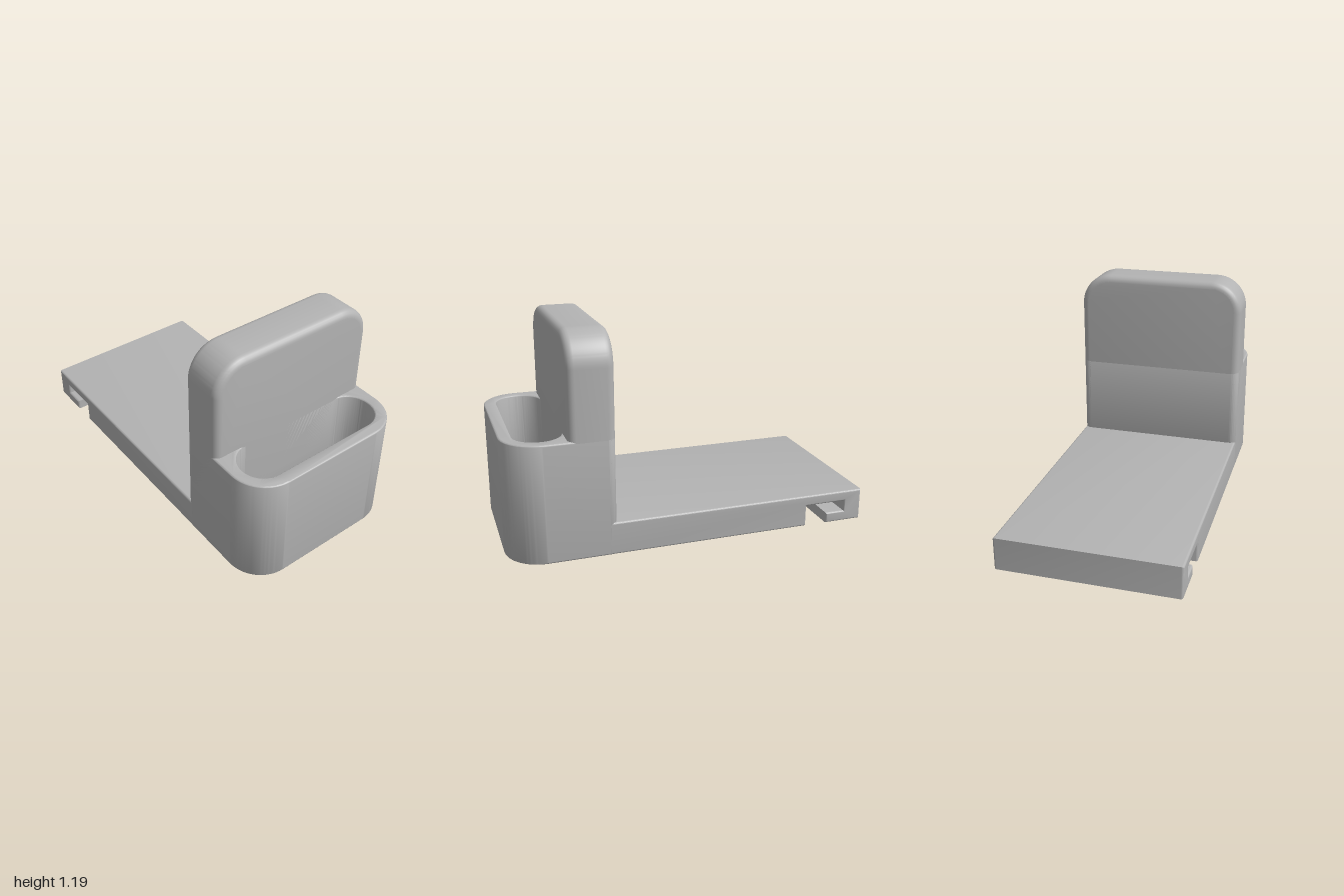
import * as THREE from 'three';
import { toCreasedNormals } from 'three/addons/utils/BufferGeometryUtils.js';

const HALF_W = 0.49;

// Extrude a shape to an exact total depth, starting at 0, with rounded rims.
function roundedExtrude(shape, depth, bevel) {
  const geo = new THREE.ExtrudeGeometry(shape, {
    depth: depth - 2 * bevel,
    bevelEnabled: true,
    bevelThickness: bevel,
    bevelSize: bevel,
    bevelOffset: -bevel,
    bevelSegments: 5,
    curveSegments: 16,
  });
  geo.translate(0, 0, bevel);
  return geo;
}

// Rectangle with one radius for the low-v corners and one for the high-v corners.
function roundedRect(path, hw, v0, v1, rLow, rHigh) {
  path.moveTo(-hw + rLow, v0);
  path.lineTo(hw - rLow, v0);
  path.absarc(hw - rLow, v0 + rLow, rLow, -Math.PI / 2, 0, false);
  path.lineTo(hw, v1 - rHigh);
  path.absarc(hw - rHigh, v1 - rHigh, rHigh, 0, Math.PI / 2, false);
  path.lineTo(-hw + rHigh, v1);
  path.absarc(-hw + rHigh, v1 - rHigh, rHigh, Math.PI / 2, Math.PI, false);
  path.lineTo(-hw, v0 + rLow);
  path.absarc(-hw + rLow, v0 + rLow, rLow, Math.PI, Math.PI * 1.5, false);
  return path;
}

export function createModel() {
  const group = new THREE.Group();
  const grey = new THREE.MeshStandardMaterial({ color: 0xb3b3b3 });
  grey.name = 'plain grey';

  const add = (name, geo) => {
    const mesh = new THREE.Mesh(toCreasedNormals(geo, 0.55), grey);
    mesh.name = name;
    group.add(mesh);
  };

  // Base plate: side profile (z, y) with the hooked slot, extruded across x
  const profile = new THREE.Shape([
    [-1, 0], [-0.785, 0], [-0.785, 0.06], [-0.895, 0.06], [-0.895, 0.12],
    [-0.66, 0.12], [-0.66, 0], [0.48, 0], [0.48, 0.18], [-1, 0.18],
  ].map(([z, y]) => new THREE.Vector2(z, y)));
  const base = roundedExtrude(profile, 2 * HALF_W, 0.012);
  base.rotateY(-Math.PI / 2);
  base.translate(HALF_W, 0, 0);
  add('basePlate', base);

  // Holder: footprint (x, -z) with a long through slot and two screw holes
  const footprint = roundedRect(new THREE.Shape(), HALF_W, -1, -0.43, 0.2, 0.04);
  footprint.holes.push(roundedRect(new THREE.Path(), 0.425, -0.93, -0.675, 0.125, 0.125));
  for (const side of [-1, 1]) {
    const hole = new THREE.Path();
    hole.absarc(side * 0.27, -0.54, 0.045, 0, Math.PI * 2, true);
    footprint.holes.push(hole);
  }
  const holder = roundedExtrude(footprint, 0.645, 0.01);
  holder.rotateX(-Math.PI / 2);
  add('slottedHolder', holder);

  // Back rest: upright slab with round top corners, closing the screw holes
  const slab = roundedRect(new THREE.Shape(), HALF_W, 0.3, 1.19, 0.05, 0.18);
  const rest = roundedExtrude(slab, 0.245, 0.04);
  rest.translate(0, 0, 0.43);
  add('backRest', rest);

  return group;
}
